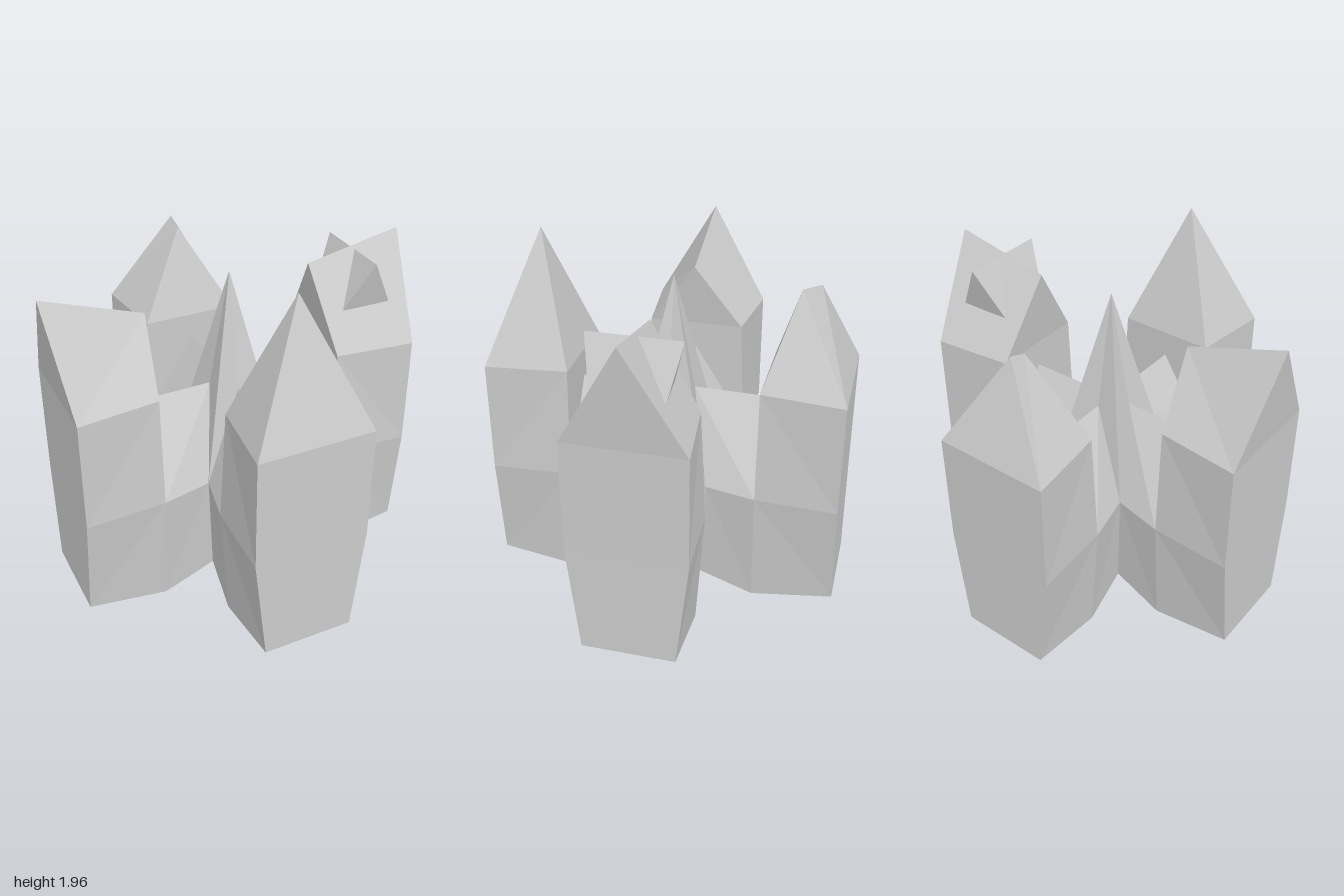
import * as THREE from 'three';

const material = new THREE.MeshStandardMaterial({
  color: 0xcccccc, flatShading: true, side: THREE.DoubleSide,
});

// Builds a mesh from polygons given for the +x half, mirrored across x = 0.
function mirroredMesh(name, polygons) {
  const positions = [];
  const addTriangle = (a, b, c) => {
    const ab = new THREE.Vector3().subVectors(b, a);
    const ac = new THREE.Vector3().subVectors(c, a);
    if (ab.cross(ac).length() < 1e-6) return; // collapsed ridge
    for (const p of [a, b, c]) positions.push(p.x, p.y, p.z);
  };
  const flip = (p) => new THREE.Vector3(-p.x, p.y, p.z);
  for (const poly of polygons) {
    for (let i = 1; i < poly.length - 1; i++) {
      const [a, b, c] = [poly[0], poly[i], poly[i + 1]];
      addTriangle(a, b, c);
      addTriangle(flip(a), flip(c), flip(b));
    }
  }
  const geometry = new THREE.BufferGeometry();
  geometry.setAttribute('position', new THREE.Float32BufferAttribute(positions, 3));
  geometry.computeVertexNormals();
  const mesh = new THREE.Mesh(geometry, material);
  mesh.name = name;
  return mesh;
}

const v = (x, y, z) => new THREE.Vector3(x, y, z);

// Tower corners, outer and inner, at bottom, middle and top (arm points along +z)
const outB = v(0.25, 0.07, 0.955), outM = v(0.315, 0.665, 0.95), outT = v(0.315, 1.28, 0.95);
const inB = v(0.25, 0.005, 0.51), inM = v(0.295, 0.665, 0.51), inT = v(0.265, 1.28, 0.51);
// Valley corner between neighbouring arms
const valleyB = v(0.2, 0.07, 0.2), valleyM = v(0.235, 0.665, 0.235);
// Ridge of the connecting passage, and the tip of the central spire
const ridgeOut = v(0, 1.135, 0.51), ridgeIn = v(0, 1.14, 0.115);
const spireTip = v(0, 1.77, 0);
const mid = (p) => v(0, p.y, p.z);

// One arm: open-bottomed tower, roof, passage and a quarter of the spire
function makeArm(name, angle, innerPeak, outerPeak) {
  const arm = new THREE.Group();
  arm.name = name;
  arm.rotation.y = angle;
  arm.add(
    mirroredMesh('towerWalls', [
      [outB, inB, inM, outM],
      [outM, inM, inT, outT],
      [mid(outB), outB, outM, mid(outM)],
      [mid(outM), outM, outT, mid(outT)],
      [inM, ridgeOut, mid(inT), inT],
    ]),
    mirroredMesh('towerRoof', [
      [outT, inT, innerPeak, outerPeak],
      [mid(outT), outT, outerPeak],
      [inT, mid(inT), innerPeak],
    ]),
    mirroredMesh('passage', [
      [inB, valleyB, valleyM, inM],
      [inM, valleyM, ridgeIn, ridgeOut],
    ]),
    mirroredMesh('spireQuarter', [[ridgeIn, valleyM, spireTip]]),
  );
  return arm;
}

export function createModel() {
  const model = new THREE.Group();
  model.name = 'castle';

  const front = makeArm('frontArm', 0, v(0, 1.965, 0.71), v(0, 1.965, 0.71));
  const left = makeArm('leftArm', Math.PI / 2, v(0, 1.72, 0.46), v(0, 1.825, 1));
  const back = makeArm('backArm', Math.PI, v(0, 1.755, 0.66), v(0, 1.79, 0.755));
  const right = makeArm('rightArm', -Math.PI / 2, v(0, 1.635, 0.465), v(0, 1.82, 1));

  // Pair of pointed dormers on the two slopes of the left roof
  const tip = v(0.237, 1.755, 0.73), rear = v(0.02, 1.755, 0.73);
  const footIn = v(0.155, 1.48, 0.595), footOut = v(0.182, 1.495, 0.862);
  left.add(mirroredMesh('dormers', [
    [footOut, footIn, tip],
    [footIn, rear, tip],
    [rear, footOut, tip],
  ]));

  model.add(front, left, back, right);
  return model;
}
